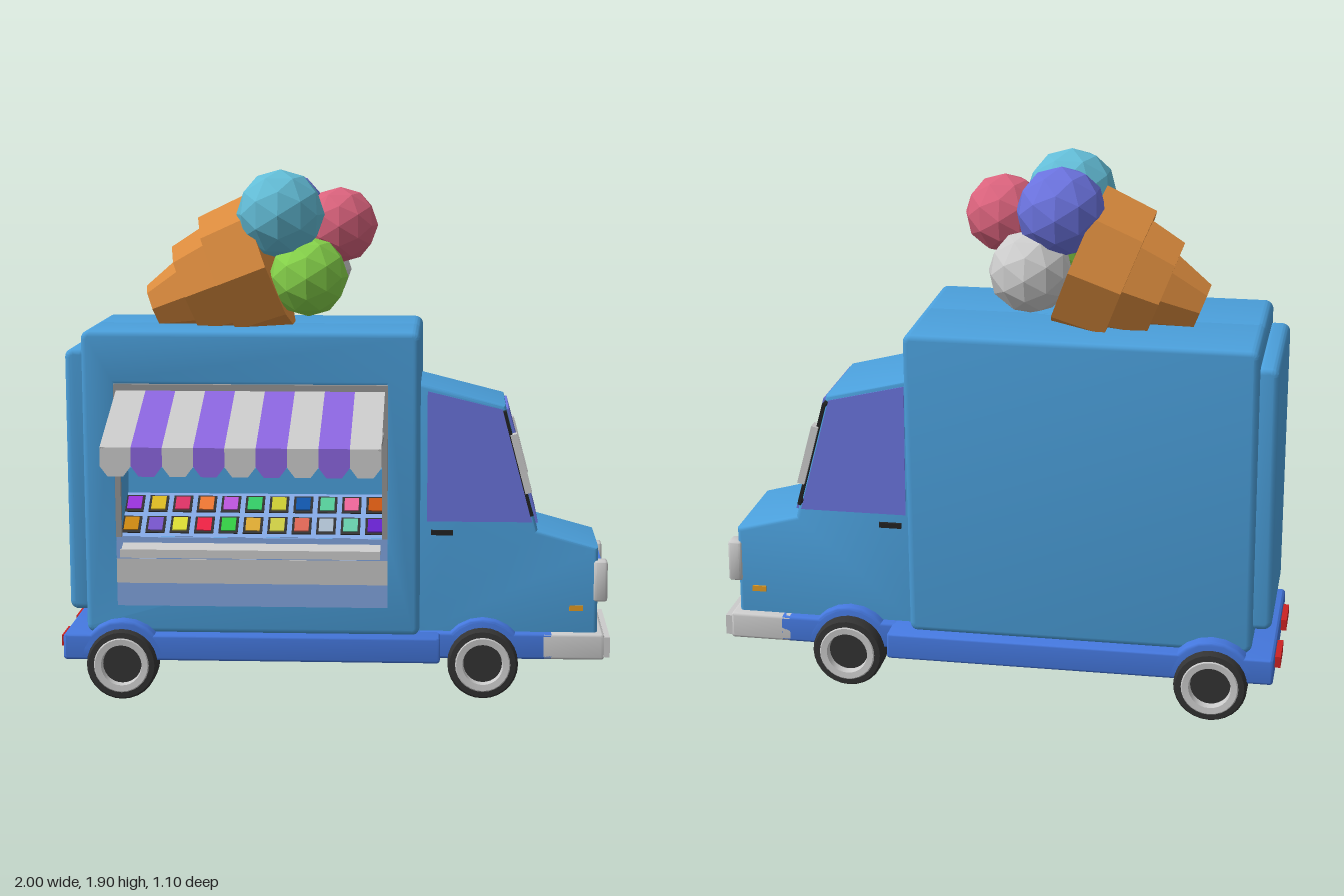
import * as THREE from 'three';
import { toCreasedNormals } from 'three/addons/utils/BufferGeometryUtils.js';

const CZ = -0.185; // centre plane of the truck
const mats = {};
const mat = (c) => (mats[c] ??= new THREE.MeshStandardMaterial({ color: c, side: THREE.DoubleSide }));
const BLUE = 0x4ba0dc, FRAME = 0x4477dd, GLASS = 0x6a74dd, GREY = 0xcccccc, DARK = 0x333333, PALE = 0x85aae6;
const flat = (c) => {
  const m = new THREE.MeshStandardMaterial({ color: c, flatShading: true });
  return m;
};

export function createModel() {
  const root = new THREE.Group();

  const add = (name, geo, color, x = 0, y = 0, z = 0, parent = root) => {
    const m = new THREE.Mesh(geo, color.isMaterial ? color : mat(color));
    m.name = name;
    m.position.set(x, y, z);
    parent.add(m);
    return m;
  };
  const box = (name, w, h, d, color, x, y, z, parent) =>
    add(name, new THREE.BoxGeometry(w, h, d), color, x, y, z, parent);
  const poly = (pts) => new THREE.Shape(pts.map(([x, y]) => new THREE.Vector2(x, y)));
  const rect = (x0, x1, y0, y1, r) => {
    const s = new THREE.Shape();
    s.absarc(x1 - r, y0 + r, r, -Math.PI / 2, 0);
    s.absarc(x1 - r, y1 - r, r, 0, Math.PI / 2);
    s.absarc(x0 + r, y1 - r, r, Math.PI / 2, Math.PI);
    s.absarc(x0 + r, y0 + r, r, Math.PI, Math.PI * 1.5);
    return s;
  };
  // Side outline extruded across the truck, with a rounded rim
  const extrude = (shape, z0, z1, b = 0.02) => {
    const g = new THREE.ExtrudeGeometry(shape, {
      depth: z1 - z0 - 2 * b, bevelSize: b, bevelThickness: b, bevelOffset: -b,
      bevelSegments: 3, curveSegments: 5, bevelEnabled: b > 0,
    });
    return g.translate(0, 0, z0 + b);
  };
  // The body narrows towards the floor
  const halfAt = (y) => 0.34 - 0.054 * (1.34 - y);
  const taper = (g) => {
    const p = g.attributes.position;
    for (let i = 0; i < p.count; i++) p.setZ(i, CZ + p.getZ(i) * halfAt(p.getY(i)) / 0.34);
    return toCreasedNormals(g, 0.7);
  };
  const wallZ = (y) => CZ + halfAt(y);
  // Panel lying on the slanted serving side
  const panel = (name, x0, x1, y0, y1, d, color) => {
    const y = (y0 + y1) / 2;
    box(name, x1 - x0, y1 - y0, d, color, (x0 + x1) / 2, y, wallZ(y)).rotation.x = 0.054;
  };

  // Body: closed rear half plus a front half with the serving opening
  add('bodyBack', taper(extrude(rect(-0.9, 0.31, 0.23, 1.34, 0.03), -0.34, 0.03)), BLUE);
  const side = rect(-0.9, 0.31, 0.23, 1.34, 0.03);
  side.holes.push(poly([[-0.77, 0.59], [-0.77, 1.14], [0.18, 1.14], [0.18, 0.59]]));
  add('bodyServingSide', taper(extrude(side, -0.03, 0.34)), BLUE);
  add('rearDoor', taper(extrude(rect(-0.965, -0.88, 0.31, 1.27, 0.03), -0.3, 0.3)), BLUE);

  // Serving opening: frame, back wall and painted bands
  panel('frameTop', -0.785, 0.195, 1.125, 1.15, 0.02, 0x999999);
  for (const x of [-0.785, 0.175]) panel('frameSide', x, x + 0.02, 0.59, 1.15, 0.02, 0x999999);
  box('innerWall', 0.95, 0.33, 0.01, 0x888888, -0.295, 0.975, -0.15);
  box('freezerBack', 0.95, 0.22, 0.06, BLUE, -0.295, 0.7, -0.13);
  panel('bandUpper', -0.785, 0.195, 0.51, 0.59, 0.008, PALE);
  panel('bandMiddle', -0.785, 0.195, 0.42, 0.51, 0.012, GREY);
  panel('bandLower', -0.785, 0.195, 0.335, 0.42, 0.008, PALE);
  box('shelf', 0.93, 0.015, 0.09, GREY, -0.295, 0.55, 0.155).rotation.x = 0.3;
  box('shelfLip', 0.93, 0.03, 0.01, GREY, -0.295, 0.545, 0.197);

  // Sloping freezer with two rows of tubs
  const freezer = new THREE.Group();
  freezer.name = 'freezer';
  freezer.position.set(-0.295, 0.645, 0);
  freezer.rotation.x = 0.588;
  root.add(freezer);
  box('freezerTop', 0.95, 0.02, 0.23, PALE, 0, 0, 0, freezer);
  const flavours = [0x9933dd, 0xddbb22, 0xdd3366, 0xee7733, 0xbb55dd, 0x33cc66, 0xcccc33, 0x1155aa, 0x55cc99,
    0xee6699, 0xcc5511, 0xcc8811, 0x7755cc, 0xdddd33, 0xee2244, 0x33cc44, 0xddaa33, 0xcccc44, 0xdd6655,
    0xaabbcc, 0x66ccaa, 0x6622cc];
  flavours.forEach((c, i) => {
    const x = ((i % 11) - 5) * 0.0885, z = i < 11 ? -0.055 : 0.055;
    box('tub', 0.07, 0.012, 0.085, DARK, x, 0.008, z, freezer);
    box('iceCream', 0.052, 0.014, 0.065, c, x, 0.012, z, freezer);
  });

  // Striped awning with scalloped edge and support arms
  const stripe = 0.96 / 9, slope = Math.hypot(0.15, 0.405);
  const scallop = poly([[-stripe / 2, 0], [-stripe / 2, -0.065], [-stripe / 4, -0.1],
    [stripe / 4, -0.1], [stripe / 2, -0.065], [stripe / 2, 0]]);
  for (let i = 0; i < 9; i++) {
    const x = -0.775 + (i + 0.5) * stripe, c = i % 2 ? 0x8c66e0 : GREY;
    add('awningStripe', new THREE.PlaneGeometry(stripe, slope), c, x, 1.055, 0.3475)
      .rotation.x = -Math.atan2(0.405, 0.15);
    add('awningScallop', new THREE.ShapeGeometry(scallop), c, x, 0.98, 0.55);
  }
  for (const x of [-0.765, 0.175]) box('awningArm', 0.015, 0.015, 0.43, 0x999999, x, 0.973, 0.335);

  // Cab
  const cab = poly([[0.28, 0.2], [0.955, 0.2], [0.955, 0.55], [0.735, 0.61], [0.615, 1.065], [0.28, 1.15]]);
  add('cab', toCreasedNormals(extrude(cab, -0.208, 0.208, 0.015), 0.6), BLUE, 0, 0, CZ);
  const win = poly([[0.335, 0.64], [0.715, 0.64], [0.605, 1.05], [0.335, 1.115]]);
  for (const s of [-1, 1]) {
    add('sideWindow', extrude(win, -0.004, 0.004, 0), GLASS, 0, 0, CZ + s * 0.207);
    box('doorHandle', 0.08, 0.018, 0.015, 0x222222, 0.39, 0.6, CZ + s * 0.212);
    box('sideMarker', 0.05, 0.02, 0.01, 0xe09a22, 0.878, 0.325, CZ + s * 0.21);
    // Mirror on a bracket, parallel to the windscreen
    const mirror = new THREE.Group();
    mirror.name = 'mirror';
    mirror.position.set(0.672, 0.86, CZ + s * 0.237);
    mirror.rotation.z = 0.26;
    root.add(mirror);
    box('mirrorGlass', 0.025, 0.22, 0.045, GREY, 0, 0, 0, mirror);
    box('mirrorRod', 0.012, 0.385, 0.012, 0x222222, -0.01, 0, 0.005 * s, mirror);
    for (const y of [-0.19, 0.19]) box('mirrorArm', 0.012, 0.012, 0.045, 0x222222, -0.01, y, -0.015 * s, mirror);
    // Lamps
    const lamp = extrude(rect(-0.035, 0.035, -0.075, 0.075, 0.012), 0, 0.05, 0.01);
    add('headlight', toCreasedNormals(lamp, 0.7), GREY, 0.94, 0.425, CZ + s * 0.182).rotation.y = Math.PI / 2;
    box('tailLight', 0.03, 0.04, 0.15, 0xcc2222, -0.985, 0.19, CZ + s * 0.165);
  }
  box('windscreen', 0.02, 0.43, 0.385, GLASS, 0.672, 0.842, CZ).rotation.z = 0.258;

  // Grille
  box('grillePanel', 0.012, 0.135, 0.23, 0x22356e, 0.953, 0.425, CZ);
  for (let i = 0; i < 5; i++) box('grilleSlat', 0.035, 0.014, 0.21, FRAME, 0.955, 0.371 + i * 0.027, CZ);

  // Chassis, front bumper
  const low = (name, x0, x1, h, color, b = 0.01) =>
    add(name, toCreasedNormals(extrude(rect(x0, x1, 0.14, 0.235, 0.012), -h, h, b), 0.7), color, 0, 0, CZ);
  low('chassisRear', -0.98, 0.385, 0.33, FRAME);
  low('chassisFront', 0.3, 0.8, 0.243, FRAME);
  low('frontBumper', 0.75, 0.98, 0.243, GREY);
  for (const y of [0.16, 0.215]) box('bumperRail', 0.03, 0.018, 0.48, GREY, 0.985, y, CZ);
  for (const s of [-1, 1]) box('bumperEnd', 0.03, 0.07, 0.018, GREY, 0.985, 0.188, CZ + s * 0.231);

  // Wheels with fenders
  const tyre = [[0.07, -0.06], [0.115, -0.06], [0.128, -0.045], [0.128, 0.045], [0.12, 0.06], [0.1, 0.062]];
  const rim = [[0.102, 0.06], [0.096, 0.066], [0.074, 0.064], [0.07, 0.035]];
  const lathe = (pts) => toCreasedNormals(
    new THREE.LatheGeometry(pts.map(([r, y]) => new THREE.Vector2(r, y)), 28), 0.6);
  for (const [x, half, outer] of [[-0.765, 0.33, 0.363], [0.54, 0.243, 0.29]]) {
    const arch = new THREE.Shape();
    arch.absarc(0, 0, 0.16, 0.1, Math.PI - 0.1);
    add('fender', toCreasedNormals(extrude(arch, -half, half, 0.012), 0.6), FRAME, x, 0.128, CZ);
    for (const s of [-1, 1]) {
      const wheel = new THREE.Group();
      wheel.name = 'wheel';
      wheel.position.set(x, 0.128, CZ + s * (outer - 0.066));
      wheel.rotation.x = s * Math.PI / 2;
      root.add(wheel);
      add('tyre', lathe(tyre), DARK, 0, 0, 0, wheel);
      add('rim', lathe(rim), GREY, 0, 0, 0, wheel);
      add('hub', new THREE.CylinderGeometry(0.072, 0.072, 0.095, 28), DARK, 0, -0.0125, 0, wheel);
    }
  }

  // Stepped wafer cone lying on the roof
  const cone = new THREE.Group();
  cone.name = 'cone';
  cone.position.set(-0.675, 1.395, CZ - 0.01);
  cone.rotation.z = -1.2;
  root.add(cone);
  for (const [r0, r1, y0, y1] of [[0.085, 0.14, 0, 0.15], [0.185, 0.215, 0.14, 0.28], [0.25, 0.265, 0.27, 0.46]])
    add('coneStep', new THREE.CylinderGeometry(r1, r0, y1 - y0, 8), flat(0xd98a3d), 0, (y0 + y1) / 2, 0, cone);

  // Scoops
  for (const [x, y, z, r, c] of [
    [-0.2, 1.745, -0.06, 0.16, 0x62bcd6], [-0.2, 1.735, -0.3, 0.155, 0x6a72dd], [0.01, 1.7, -0.2, 0.138, 0xd9627c],
    [-0.1, 1.52, -0.07, 0.145, 0x86d24a], [-0.1, 1.53, -0.33, 0.145, 0xcccccc],
  ]) add('scoop', new THREE.IcosahedronGeometry(r, 1), flat(c), x, y, z);

  return root;
}
